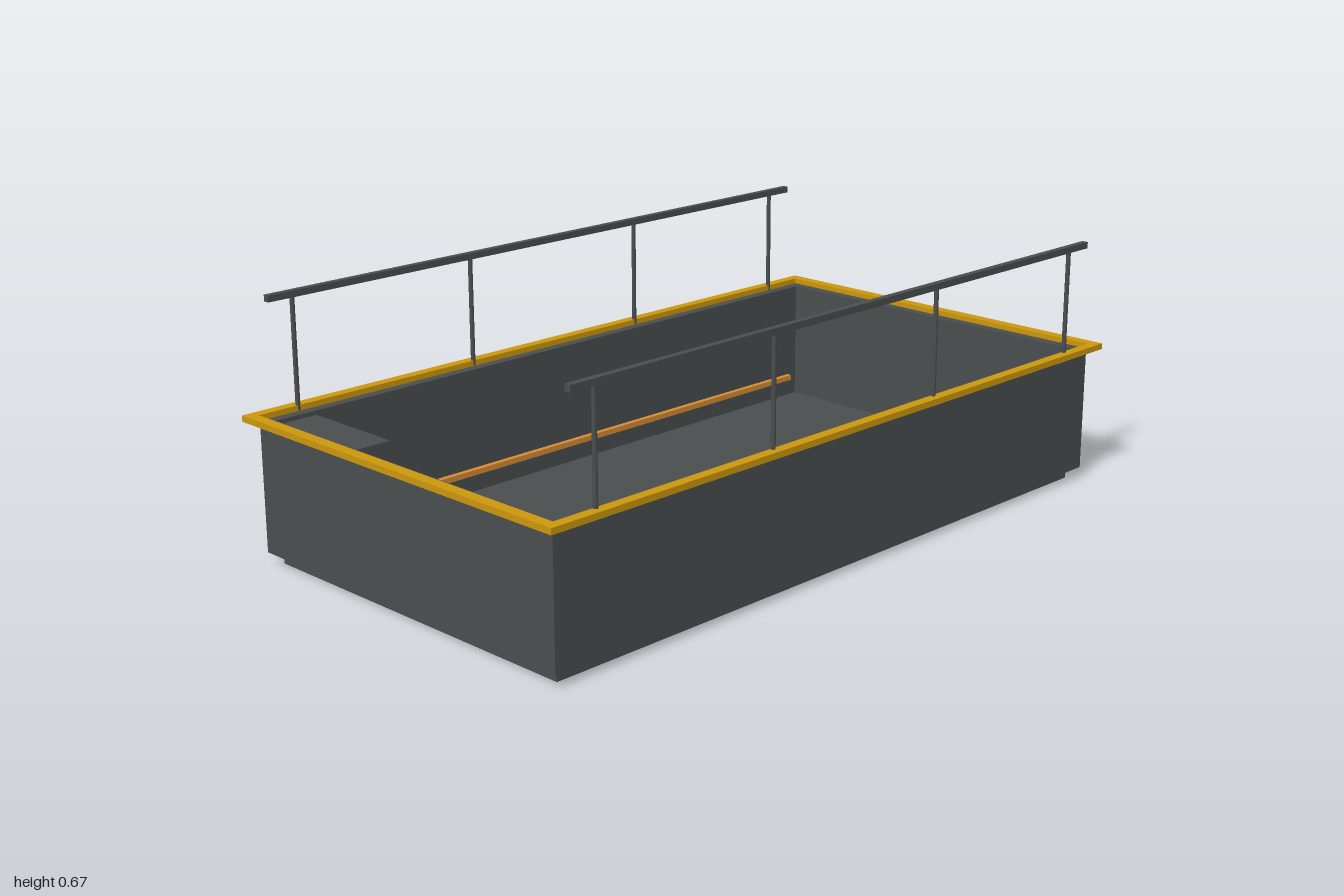
import * as THREE from 'three';

const steel = new THREE.MeshStandardMaterial({ color: 0x4a4e4f });
steel.name = 'dark grey steel';
const gold = new THREE.MeshStandardMaterial({ color: 0xcc980c });
gold.name = 'safety yellow';
const orange = new THREE.MeshStandardMaterial({ color: 0xd68c34 });
orange.name = 'copper orange';

// Box given by its minimum and maximum corners
function box(name, mat, [x0, y0, z0], [x1, y1, z1]) {
  const mesh = new THREE.Mesh(new THREE.BoxGeometry(x1 - x0, y1 - y0, z1 - z0), mat);
  mesh.position.set((x0 + x1) / 2, (y0 + y1) / 2, (z0 + z1) / 2);
  mesh.name = name;
  return mesh;
}

// Rectangular frame lying flat: outer and inner half sizes, bottom and top height
function frame(name, mat, ox, oz, ix, iz, y0, y1) {
  const rect = (S, x, z) => new S([[-x, -z], [x, -z], [x, z], [-x, z]].map(p => new THREE.Vector2(...p)));
  const shape = rect(THREE.Shape, ox, oz);
  shape.holes.push(rect(THREE.Path, ix, iz));
  const geo = new THREE.ExtrudeGeometry(shape, { depth: y1 - y0, bevelEnabled: false });
  geo.rotateX(-Math.PI / 2);
  const mesh = new THREE.Mesh(geo, mat);
  mesh.position.y = y0;
  mesh.name = name;
  return mesh;
}

export function createModel() {
  const model = new THREE.Group();
  model.name = 'servicePit';

  // Shell: plinth with the floor on top, surrounding walls and painted rim
  model.add(
    box('floorPlinth', steel, [-0.5, 0, -0.942], [0.5, 0.035, 0.942]),
    frame('walls', steel, 0.527, 0.97, 0.5, 0.942, 0.03, 0.369),
    frame('rim', gold, 0.557, 1, 0.529, 0.97, 0.367, 0.383)
  );

  // Guard rails along both long sides
  for (const side of [-1, 1]) {
    const rail = new THREE.Group();
    rail.name = side > 0 ? 'leftGuardRail' : 'rightGuardRail';
    rail.position.x = side * 0.534;
    rail.add(box('handrail', steel, [-0.0085, 0.656, -0.927], [0.0085, 0.673, 0.927]));
    for (const z of [-0.853, -0.295, 0.295, 0.853]) {
      const post = new THREE.Mesh(new THREE.CylinderGeometry(0.006, 0.006, 0.291, 12), steel);
      post.position.set(0, 0.5145, z);
      post.name = 'railPost';
      rail.add(post);
    }
    model.add(rail);
  }

  // Stairs rising towards the front wall
  const steps = [[0.66, 0.755, 0.146], [0.755, 0.845, 0.257], [0.845, 0.945, 0.369]];
  for (const [z0, z1, top] of steps)
    model.add(box('step', steel, [-0.47, 0.03, z0], [-0.18, top, z1]));

  // Vertical ribs on the left wall
  for (const z of [-0.83, -0.507, -0.268, 0.172, 0.435, 0.79])
    model.add(box('wallRib', steel, [0.48, 0.035, z - 0.021], [0.503, 0.362, z + 0.021]));

  // Long service pipes, high on the left wall and low on the right
  model.add(
    box('leftServicePipe', orange, [0.472, 0.282, -0.9], [0.487, 0.297, 0.9]),
    box('rightServicePipe', orange, [-0.493, 0.088, -0.9], [-0.478, 0.103, 0.9])
  );
  return model;
}
